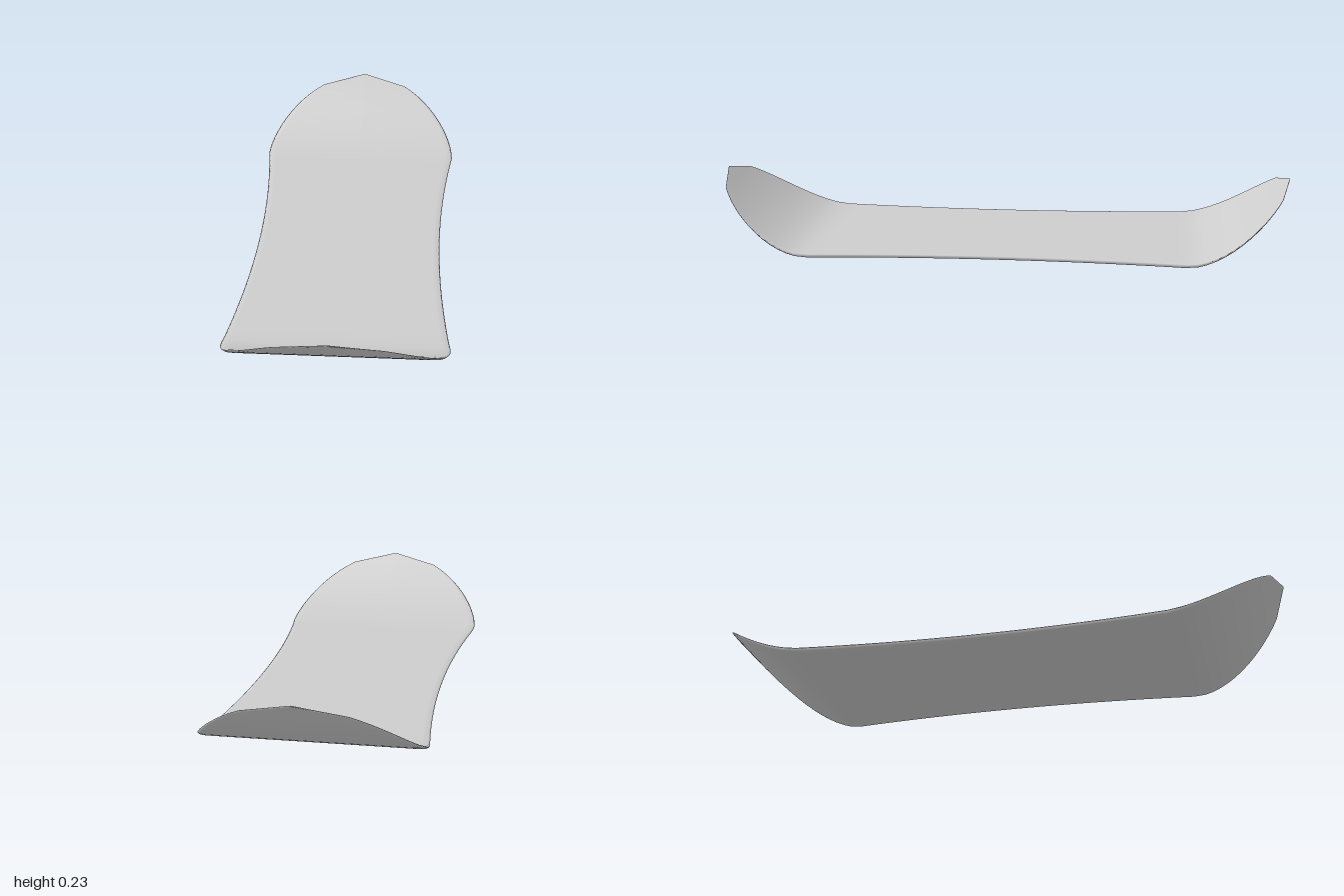
import * as THREE from 'three';

// Half width at the waist and shoulder, and z of the shoulder
const WAIST = 0.325, SHOULDER = 0.367, SHOULDER_Z = 0.68, BEND_Z = 0.64;

// Right half of the cross-section, bottom centre to top centre:
// x as a fraction of half width, y as a fraction of thickness
const HALF = [[0, 0], [0.93, 0], [0.98, 0.15], [1, 0.6], [0.985, 0.92], [0.93, 1], [0, 1]];
const SECTION = [...HALF, ...HALF.slice(1, -1).reverse().map(([x, y]) => [-x, y])];

// Stations [z, half width] along the board
function stations() {
  const side = [];
  for (let i = 1; i <= 16; i++) {
    const t = i / 16;
    side.push([SHOULDER_Z * t, WAIST + (SHOULDER - WAIST) * t * t]);
  }
  const tipAngle = (a) => [SHOULDER_Z + (1 - SHOULDER_Z) * Math.sin(a), SHOULDER * Math.cos(a)];
  for (let i = 1; i <= 12; i++) side.push(tipAngle((1.094 * i) / 12));
  side.push([1, 0]); // blunt point
  return [...side.map(([z, w]) => [-z, w]).reverse(), [0, WAIST], ...side];
}

// Board lofted through the stations, with upturned, thinning ends
function boardGeometry() {
  const rows = stations(), n = SECTION.length;
  const positions = [], index = [];
  for (const [z, w] of rows) {
    const s = Math.max(0, (Math.abs(z) - BEND_Z) / (1 - BEND_Z));
    const lift = 0.229 * Math.pow(s, 1.7);
    const thickness = 0.015 * (1 - 0.73 * s);
    for (const [u, v] of SECTION) positions.push(u * w, lift + v * thickness, z);
  }
  for (let i = 0; i < rows.length - 1; i++) {
    for (let j = 0; j < n; j++) {
      const k = (j + 1) % n;
      const a = i * n + j, b = i * n + k, c = b + n, d = a + n;
      index.push(a, b, d, b, c, d);
    }
  }
  const geometry = new THREE.BufferGeometry();
  geometry.setAttribute('position', new THREE.Float32BufferAttribute(positions, 3));
  geometry.setIndex(index);
  geometry.computeVertexNormals();
  return geometry;
}

export function createModel() {
  const group = new THREE.Group();
  group.name = 'snowboard';
  const grey = new THREE.MeshStandardMaterial({ color: 0xcccccc });
  grey.name = 'light grey';
  const board = new THREE.Mesh(boardGeometry(), grey);
  board.name = 'board';
  group.add(board);
  return group;
}
